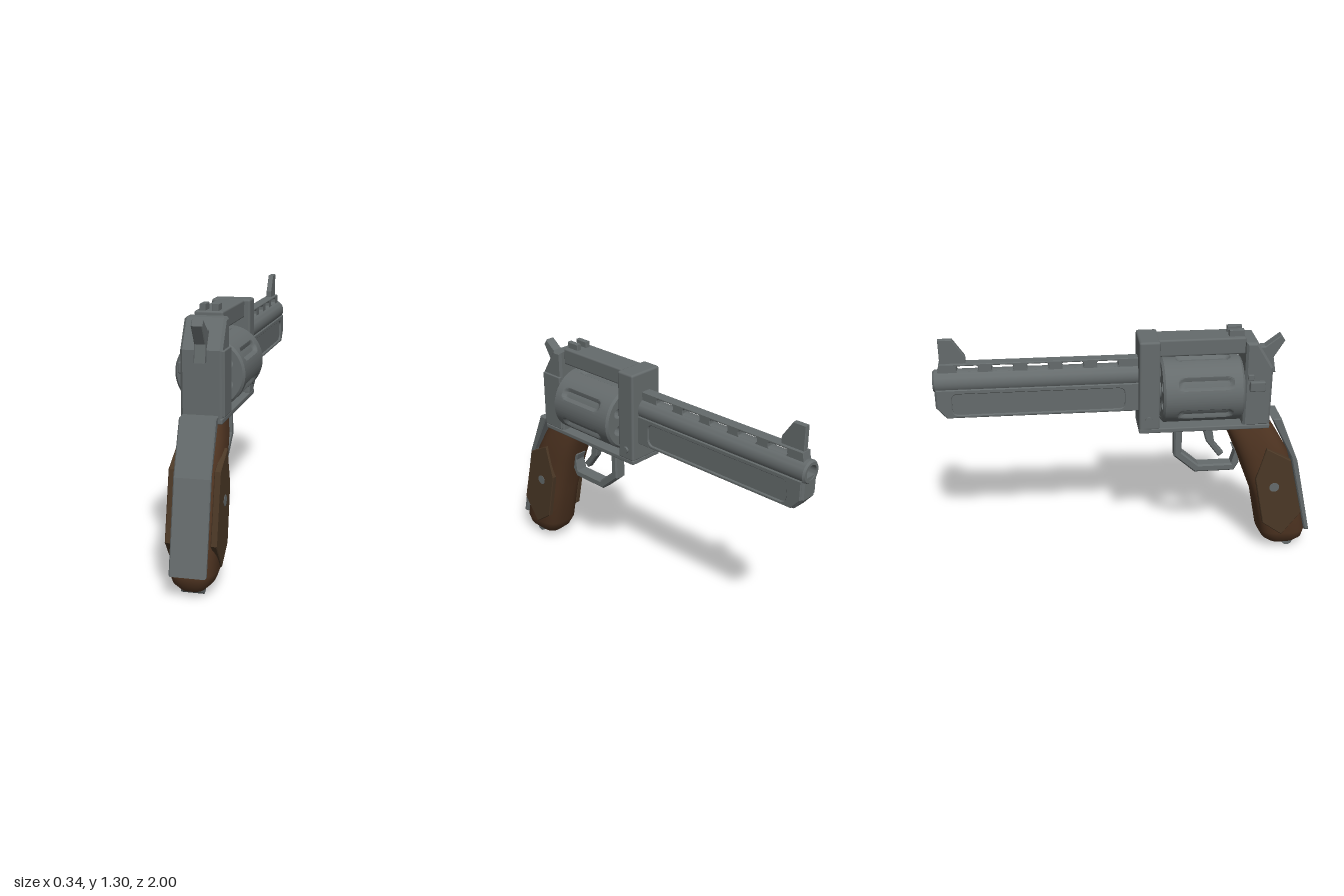
import * as THREE from 'three';
import { toCreasedNormals } from 'three/addons/utils/BufferGeometryUtils.js';
import { RoundedBoxGeometry } from 'three/addons/geometries/RoundedBoxGeometry.js';

export function createModel() {
  const model = new THREE.Group();
  const material = (name, color) => Object.assign(new THREE.MeshStandardMaterial({ color }), { name });
  const steel = material('gunmetal', 0x656b6c);
  const wood = material('walnut', 0x503522);
  const panelWood = material('panelWood', 0x4b3826);

  const add = (name, geometry, mat = steel) => {
    const mesh = new THREE.Mesh(geometry, mat);
    mesh.name = name;
    model.add(mesh);
    return mesh;
  };
  // Rounded box given by its extents
  const box = (name, x0, x1, y0, y1, z0, z1, r = 0.01) => {
    const g = new RoundedBoxGeometry(x1 - x0, y1 - y0, z1 - z0, 2, r);
    g.translate((x0 + x1) / 2, (y0 + y1) / 2, (z0 + z1) / 2);
    return add(name, g);
  };
  // Side outline of [z, y] points, extruded across x
  const trace = (path, pts) => {
    pts.forEach(([z, y], i) => (i ? path.lineTo(-z, y) : path.moveTo(-z, y)));
    path.closePath();
    return path;
  };
  const side = (name, pts, width, { bevel = 0.008, x = 0, holes = [], mat = steel } = {}) => {
    const shape = trace(new THREE.Shape(), pts);
    shape.holes = holes;
    const g = new THREE.ExtrudeGeometry(shape, {
      depth: width - 2 * bevel, bevelEnabled: bevel > 0, bevelThickness: bevel,
      bevelSize: bevel, bevelOffset: -bevel, bevelSegments: 1, curveSegments: 8,
    });
    g.translate(0, 0, -width / 2 + bevel).rotateY(Math.PI / 2).translate(x, 0, 0);
    return add(name, g, mat);
  };
  // Rounded slot outline, used for holes
  const slot = (z0, z1, y0, y1, r) => {
    const p = new THREE.Path(), a = -z0, b = -z1;
    p.moveTo(a + r, y0).lineTo(b - r, y0).quadraticCurveTo(b, y0, b, y0 + r);
    p.lineTo(b, y1 - r).quadraticCurveTo(b, y1, b - r, y1);
    p.lineTo(a + r, y1).quadraticCurveTo(a, y1, a, y1 - r);
    p.lineTo(a, y0 + r).quadraticCurveTo(a, y0, a + r, y0);
    return p;
  };
  // Lathe whose axis runs forward along -z from zStart
  const turned = (pts, segments, y, zStart, shapeVertices) => {
    const g = new THREE.LatheGeometry(pts.map(([r, h]) => new THREE.Vector2(r, h)), segments);
    if (shapeVertices) shapeVertices(g.attributes.position);
    g.rotateX(-Math.PI / 2).translate(0, y, zStart);
    return toCreasedNormals(g, 0.6);
  };
  // Disc or pin across x
  const pin = (name, r, width, x, y, z, mat = steel) => {
    const g = new THREE.CylinderGeometry(r, r, width, 20);
    g.rotateZ(Math.PI / 2).translate(x, y, z);
    return add(name, g, mat);
  };

  // Frame around the cylinder
  side('recoilShield', [[0.73, 0.785], [0.73, 1.11], [0.645, 1.25], [0.585, 1.25], [0.585, 0.785]], 0.2, { bevel: 0.012 });
  box('loadingPlate', 0.09, 0.11, 0.8, 1.11, 0.59, 0.722, 0.005);
  box('topStrap', -0.07, 0.07, 1.18, 1.27, 0.1, 0.588);
  box('frontBlock', -0.1, 0.1, 0.785, 1.272, 0.04, 0.148, 0.012);
  box('bottomPlate', -0.1, 0.1, 0.767, 0.793, 0.04, 0.73, 0.006);
  pin('frameScrew', 0.018, 0.222, 0, 0.845, 0.09);
  box('cylinderLatch', -0.122, -0.09, 0.99, 1.043, 0.61, 0.69, 0.006);
  box('latchPin', -0.111, -0.09, 1.05, 1.08, 0.6, 0.63, 0.004);

  // Cylinder core with six chambers
  const cy = 0.973, coreShape = new THREE.Shape().absarc(0, 0, 0.149, 0, Math.PI * 2);
  for (let i = 0; i < 6; i++) {
    const a = Math.PI / 6 + (i * Math.PI) / 3;
    coreShape.holes.push(new THREE.Path().absarc(0.1 * Math.cos(a), 0.1 * Math.sin(a), 0.027, 0, Math.PI * 2, true));
  }
  const core = new THREE.ExtrudeGeometry(coreShape, { depth: 0.416, bevelEnabled: false, curveSegments: 24 });
  core.translate(0, cy, 0.16);
  add('cylinderCore', toCreasedNormals(core, 0.6));

  // Cylinder skin with six rounded flutes
  const skin = [[0.147, 0], [0.16, 0], [0.171, 0.012]];
  for (let i = 1; i < 36; i++) skin.push([0.171, 0.012 + i * 0.011]);
  skin.push([0.171, 0.408], [0.16, 0.42], [0.147, 0.42]);
  add('cylinderSkin', turned(skin, 180, cy, 0.578, (p) => {
    for (let i = 0; i < p.count; i++) {
      const x = p.getX(i), h = p.getY(i), z = p.getZ(i), step = Math.PI / 3;
      const phi = Math.atan2(x, z), off = (phi - Math.round(phi / step) * step) * 0.171;
      const along = Math.max(0, 0.09 - h, h - 0.31);
      const t = THREE.MathUtils.clamp((0.034 - Math.hypot(off, along)) / 0.016, 0, 1);
      const k = 1 - (0.018 * t) / 0.171;
      p.setX(i, x * k);
      p.setZ(i, z * k);
    }
  }));
  const axle = new THREE.CylinderGeometry(0.05, 0.05, 0.5, 24);
  axle.rotateX(Math.PI / 2).translate(0, cy, 0.36);
  add('cylinderAxle', axle);

  // Barrel with open bore
  add('barrel', turned([[0.06, 0], [0.06, 1.03], [0.052, 1.04], [0.038, 1.04], [0.038, 0.5], [0, 0.5]], 32, 1.067, 0.04));

  // Lug under the barrel, with a sunken panel on each side
  const lug = [[0.045, 0.875], [0.045, 1.045], [-0.995, 1.045], [-0.995, 0.935], [-0.945, 0.875]];
  side('barrelLug', lug.map(([z, y]) => [z, y]), 0.1, { bevel: 0.012 });
  for (const s of [-1, 1]) {
    side('lugSideFrame', [[0.045, 0.882], [0.045, 1.038], [-0.988, 1.038], [-0.988, 0.938], [-0.94, 0.882]], 0.014,
      { bevel: 0.004, x: s * 0.053, holes: [slot(-0.03, -0.91, 0.898, 1.014, 0.035)] });
  }

  // Ventilated rib
  const vents = [];
  for (let i = 0; i < 5; i++) vents.push(slot(-0.06 - i * 0.177, -0.17 - i * 0.177, 1.122, 1.154, 0.012));
  side('ventedRib', [[0.045, 1.11], [0.045, 1.165], [-0.965, 1.165], [-0.975, 1.11]], 0.056, { bevel: 0.003, holes: vents });

  // Sights
  side('frontSight', [[-0.83, 1.15], [-0.83, 1.2], [-0.89, 1.29], [-0.96, 1.29], [-0.96, 1.15]], 0.028, { bevel: 0.003 });
  for (const s of [-1, 1]) {
    side('rearSight', [[0.58, 1.26], [0.58, 1.303], [0.503, 1.303], [0.503, 1.26]], 0.028, { bevel: 0.003, x: s * 0.031 });
  }

  // Hammer, trigger and guard
  side('hammer', [[0.8, 1.23], [0.78, 1.26], [0.7, 1.2], [0.66, 1.2], [0.66, 1.055], [0.76, 1.055], [0.745, 1.14]], 0.054, { bevel: 0.004 });
  side('trigger', [[0.435, 0.775], [0.38, 0.775], [0.41, 0.665], [0.48, 0.57], [0.507, 0.59], [0.455, 0.655]], 0.044, { bevel: 0.006 });
  side('triggerGuard', [[0.235, 0.775], [0.235, 0.59], [0.35, 0.488], [0.565, 0.488], [0.592, 0.535], [0.575, 0.63],
    [0.55, 0.63], [0.566, 0.59], [0.55, 0.53], [0.37, 0.53], [0.277, 0.612], [0.277, 0.775]], 0.07, { bevel: 0.008 });

  // Grip lofted through tilted oval sections: front z, y, back z, y, half width
  const sections = [
    [0.505, 0.755, 0.735, 0.8, 0.095], [0.535, 0.69, 0.79, 0.71, 0.107], [0.58, 0.58, 0.855, 0.6, 0.112],
    [0.67, 0.345, 0.92, 0.37, 0.116], [0.715, 0.115, 0.985, 0.11, 0.114], [0.745, 0.06, 0.975, 0.062, 0.096],
    [0.785, 0.025, 0.945, 0.027, 0.06],
  ];
  const n = 36, verts = [], faces = [];
  const soft = (v) => Math.sign(v) * Math.abs(v) ** 0.7;
  for (const [fz, fy, bz, by, w] of sections) {
    for (let j = 0; j < n; j++) {
      const a = (j / n) * Math.PI * 2, t = (1 - soft(Math.cos(a))) / 2;
      verts.push(w * soft(Math.sin(a)), fy + (by - fy) * t, fz + (bz - fz) * t);
    }
  }
  const last = sections.length - 1, top = sections.length * n;
  for (const i of [0, last]) {
    const [fz, fy, bz, by] = sections[i];
    verts.push(0, (fy + by) / 2, (fz + bz) / 2);
  }
  for (let j = 0; j < n; j++) {
    const k = (j + 1) % n;
    for (let i = 0; i < last; i++) {
      const a = i * n + j, b = i * n + k;
      faces.push(a, b, a + n, b, b + n, a + n);
    }
    faces.push(top, k, j, top + 1, last * n + j, last * n + k);
  }
  const grip = new THREE.BufferGeometry();
  grip.setAttribute('position', new THREE.Float32BufferAttribute(verts, 3));
  grip.setIndex(faces);
  add('grip', toCreasedNormals(grip, 0.7), wood);

  // Raised side panels and grip screw
  for (const s of [-1, 1]) {
    side('gripPanel', [[0.72, 0.655], [0.855, 0.58], [0.935, 0.25], [0.835, 0.115], [0.725, 0.195], [0.67, 0.47]], 0.03,
      { bevel: 0.004, x: s * 0.108, mat: panelWood });
  }
  pin('gripScrew', 0.027, 0.25, 0, 0.42, 0.775);

  // Backstrap and butt ring
  side('backstrap', [[0.797, 0.813], [0.747, 0.813], [0.867, 0.575], [0.975, 0.115], [1.0, 0.115], [0.903, 0.555]], 0.176, { bevel: 0.006 });
  pin('buttRing', 0.03, 0.106, 0, 0.03, 0.89);

  return model;
}
